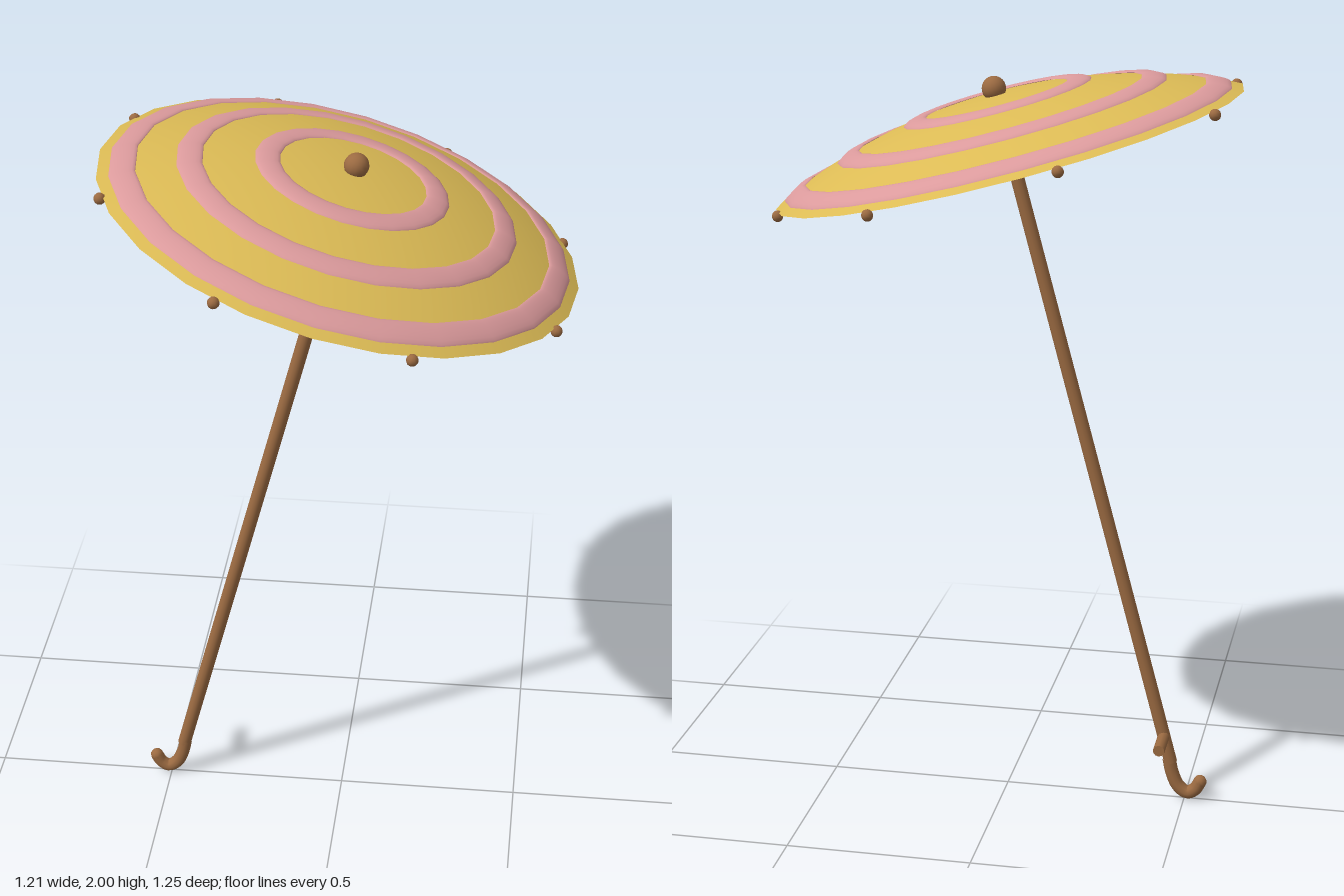
import * as THREE from 'three';

const RIM = 0.627, RISE = 0.138, SIDES = 24, TILT = -Math.PI / 12;

function material(color, side = THREE.FrontSide) {
  return new THREE.MeshStandardMaterial({ color, side });
}

// Height of the canopy above its rim plane: a shallow spherical cap
function domeHeight(r) {
  const R = (RIM * RIM + RISE * RISE) / (2 * RISE);
  return Math.sqrt(R * R - r * r) - (R - RISE);
}

export function createModel() {
  const model = new THREE.Group();
  model.name = 'parasol';
  const gold = material(0xdcbb55, THREE.DoubleSide);
  const pink = material(0xdb9a9c, THREE.DoubleSide);
  const wood = material(0x9c6b42);

  function add(parent, name, geometry, mat, x = 0, y = 0, z = 0) {
    const mesh = new THREE.Mesh(geometry, mat);
    mesh.name = name;
    mesh.position.set(x, y, z);
    parent.add(mesh);
    return mesh;
  }

  // Everything on the leaning axis; origin at the centre of the canopy rim
  const leaning = new THREE.Group();
  leaning.name = 'leaningParasol';
  leaning.position.set(-0.003, 1.818, 0);
  leaning.rotation.z = TILT;
  model.add(leaning);

  // Canopy, open underneath
  const profile = [];
  for (let i = 0; i <= 20; i++) {
    const r = RIM * (1 - i / 20);
    profile.push(new THREE.Vector2(r, domeHeight(r)));
  }
  add(leaning, 'canopy', new THREE.LatheGeometry(profile, SIDES), gold);

  // Raised stripes that follow the dome
  for (const radius of [0.22, 0.41, 0.568]) {
    const band = [];
    for (let i = 0; i <= 8; i++) {
      const a = (i / 8) * Math.PI;
      const r = radius + 0.031 * Math.cos(a);
      band.push(new THREE.Vector2(r, domeHeight(r) + 0.001 + 0.008 * Math.sin(a)));
    }
    add(leaning, 'stripe', new THREE.LatheGeometry(band, SIDES), pink);
  }

  // Finial and rim beads
  add(leaning, 'finial', new THREE.SphereGeometry(0.032, 16, 12), wood, 0, 0.155, 0);
  const bead = new THREE.SphereGeometry(0.015, 10, 8);
  for (let i = 0; i < 8; i++) {
    const a = (i + 0.5) * Math.PI / 4;
    add(leaning, 'rimBead', bead, wood, RIM * Math.cos(a), -0.008, RIM * Math.sin(a));
  }

  // Pole, reaching up inside the dome
  const poleTop = 0.125, poleBottom = -1.765;
  add(leaning, 'pole', new THREE.CylinderGeometry(0.0185, 0.0185, poleTop - poleBottom, 12),
    wood, 0, (poleTop + poleBottom) / 2, 0);

  // Hooked handle
  const path = new THREE.CatmullRomCurve3([
    [-0.455, 0.125], [-0.465, 0.08], [-0.483, 0.042], [-0.508, 0.025], [-0.53, 0.037], [-0.543, 0.06],
  ].map(([x, y]) => new THREE.Vector3(x, y, 0)));
  add(model, 'hook', new THREE.TubeGeometry(path, 24, 0.0185, 10), wood);
  add(model, 'hookEnd', new THREE.SphereGeometry(0.0185, 10, 8), wood, -0.543, 0.06, 0);

  // Side peg near the foot, pointing backwards
  const peg = add(model, 'peg', new THREE.CylinderGeometry(0.016, 0.016, 0.105, 10), wood, -0.44, 0.19, -0.0525);
  peg.rotation.x = Math.PI / 2;

  return model;
}
